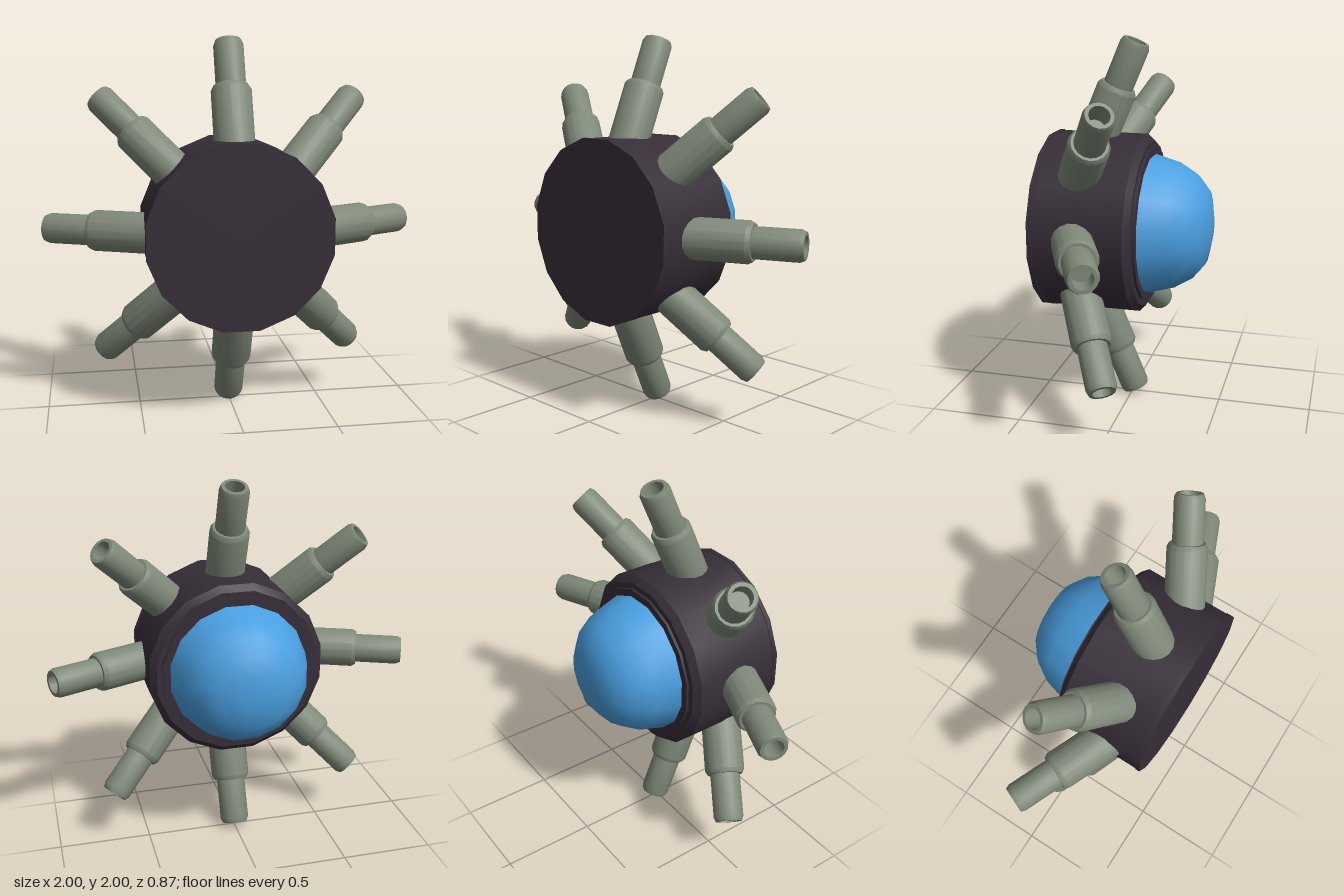
import * as THREE from 'three';
import { toCreasedNormals } from 'three/addons/utils/BufferGeometryUtils.js';

const SIDES = 16;
const TILT = THREE.MathUtils.degToRad(23);

// Turned solid around y, flats facing the axes, smooth with sharp edges kept
function turned(profile) {
  const points = profile.map(([r, y]) => new THREE.Vector2(r, y));
  const geometry = new THREE.LatheGeometry(points, SIDES, Math.PI / SIDES);
  return toCreasedNormals(geometry, 0.6);
}

function part(name, geometry, material) {
  const mesh = new THREE.Mesh(geometry, material);
  mesh.name = name;
  return mesh;
}

export function createModel() {
  const model = new THREE.Group();
  model.name = 'radialTurret';

  const darkHousing = new THREE.MeshStandardMaterial({ color: 0x372e38 });
  const greyGreen = new THREE.MeshStandardMaterial({ color: 0x7f8979 });
  const blueGlass = new THREE.MeshStandardMaterial({ color: 0x4a9fe0 });
  darkHousing.name = 'darkHousing';
  greyGreen.name = 'greyGreen';
  blueGlass.name = 'blueGlass';

  // Everything sits around a hub one unit above the ground
  const hub = new THREE.Group();
  hub.name = 'hub';
  hub.position.y = 1;
  model.add(hub);

  // Drum with a thin front lip, a bevelled back edge and a raised collar
  const drum = turned([
    [0, -0.435], [0.488, -0.435], [0.488, -0.41], [0.484, -0.41],
    [0.484, 0.065], [0.45, 0.097], [0.418, 0.097], [0.418, 0.112], [0, 0.112],
  ]);
  drum.rotateX(-Math.PI / 2);
  hub.add(part('drum', drum, darkHousing));

  // Rounded dome on the back
  const dome = turned([
    [0.38, 0.105], [0.339, 0.25], [0.28, 0.347], [0.2, 0.412], [0.077, 0.438], [0, 0.438],
  ]);
  dome.rotateX(-Math.PI / 2);
  hub.add(part('dome', dome, blueGlass));

  // Stepped barrel with a hollow muzzle
  const barrel = turned([
    [0, 0], [0.107, 0], [0.107, 0.402], [0.094, 0.425], [0.08, 0.425],
    [0.08, 0.652], [0.07, 0.677], [0.052, 0.677], [0.052, 0.56], [0, 0.56],
  ]);
  barrel.rotateX(-TILT);
  barrel.translate(0, 0.35, 0.243);

  // Eight barrels around the drum
  for (let i = 0; i < 8; i++) {
    const mesh = part('barrel' + (i + 1), barrel, greyGreen);
    mesh.rotation.z = (i * Math.PI) / 4;
    hub.add(mesh);
  }
  return model;
}
